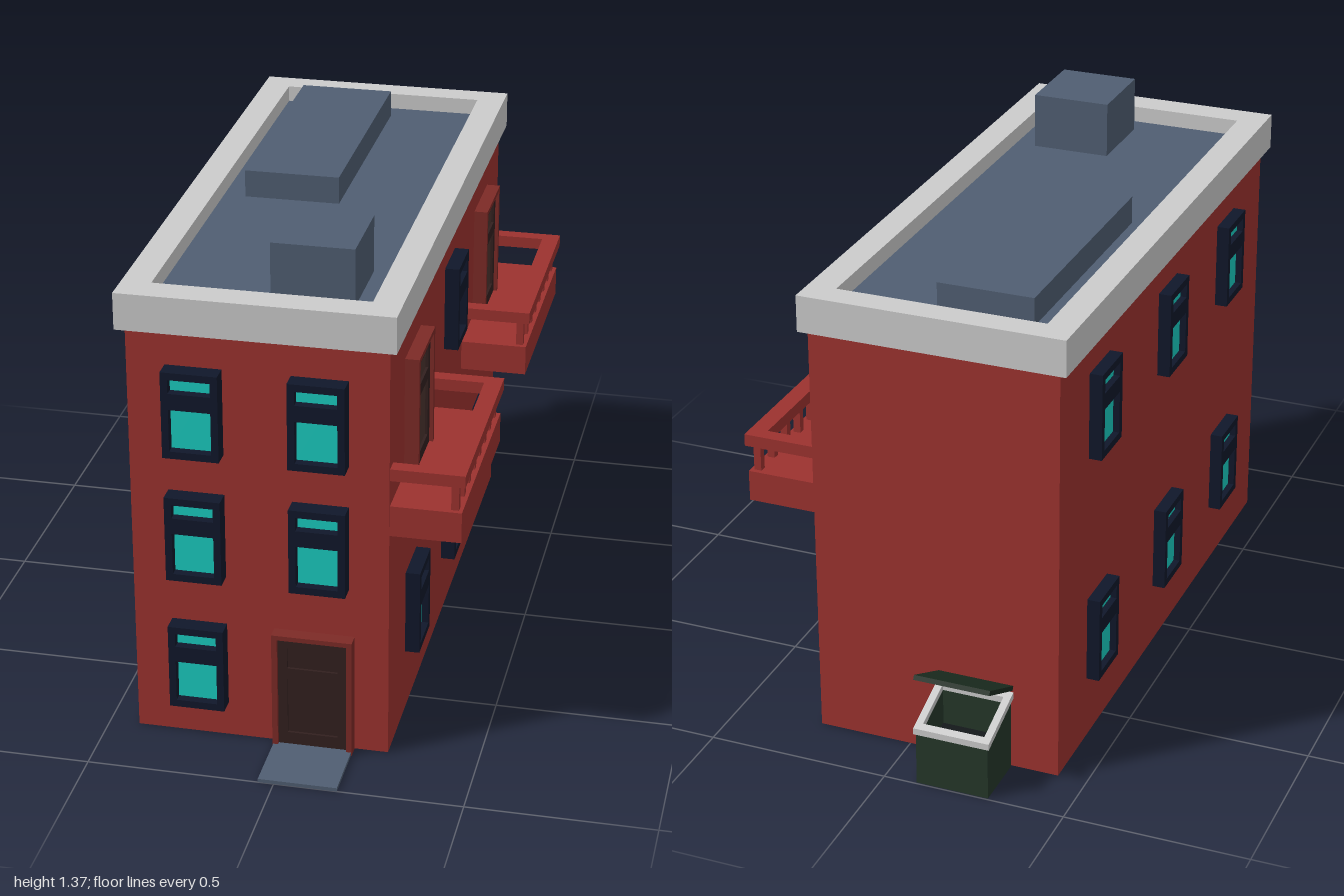
import * as THREE from 'three';

const mat = (color) => new THREE.MeshStandardMaterial({ color, flatShading: true });
const M = {
  brick: mat(0x9c322f), trim: mat(0x7d2a26), stone: mat(0xcccccc), slate: mat(0x505e72),
  frame: mat(0x10172a), glass: mat(0x1accc0), door: mat(0x32201f), pane: mat(0x4a332e),
  bin: mat(0x243729), lid: mat(0x1b2c1f), dark: mat(0x14181a),
};

function add(parent, name, geometry, material) {
  const mesh = new THREE.Mesh(geometry, material);
  mesh.name = name;
  parent.add(mesh);
  return mesh;
}

// Box given by its limits on each axis
function box(parent, name, material, [x0, x1], [y0, y1], [z0, z1]) {
  const mesh = add(parent, name, new THREE.BoxGeometry(x1 - x0, y1 - y0, z1 - z0), material);
  mesh.position.set((x0 + x1) / 2, (y0 + y1) / 2, (z0 + z1) / 2);
  return mesh;
}

const rect = (P, [x0, x1], [y0, y1]) => new P([
  new THREE.Vector2(x0, y0), new THREE.Vector2(x1, y0),
  new THREE.Vector2(x1, y1), new THREE.Vector2(x0, y1),
]);

// Rectangular plate with rectangular holes, extruded along +z
function plate(xs, ys, holes, depth) {
  const shape = rect(THREE.Shape, xs, ys);
  for (const [hx, hy] of holes) shape.holes.push(rect(THREE.Path, hx, hy));
  return new THREE.ExtrudeGeometry(shape, { depth, bevelEnabled: false });
}

// Rectangular ring lying flat, from y = 0 up to y = height
function flatRing([x0, x1], [z0, z1], [hx0, hx1], [hz0, hz1], height) {
  return plate([x0, x1], [-z1, -z0], [[[hx0, hx1], [-hz1, -hz0]]], height).rotateX(-Math.PI / 2);
}

// Sash window facing +z, standing on its origin
function makeWindow(depth) {
  const g = new THREE.Group();
  g.name = 'window';
  const holes = [[[-0.055, 0.055], [0.02, 0.137]], [[-0.055, 0.055], [0.182, 0.22]]];
  add(g, 'windowFrame', plate([-0.074, 0.074], [0, 0.24], holes, depth), M.frame);
  box(g, 'windowGlass', M.glass, [-0.06, 0.06], [0.01, 0.23], [0, depth * 0.5]);
  return g;
}

// Panelled door facing +z, standing on its origin
function makeDoor(panelMaterial) {
  const g = new THREE.Group();
  g.name = 'door';
  add(g, 'doorSurround', plate([-0.107, 0.107], [0, 0.34], [[[-0.092, 0.092], [0.004, 0.327]]], 0.038), M.trim);
  const holes = [[[-0.067, 0.067], [0.045, 0.208]], [[-0.067, 0.067], [0.24, 0.3]]];
  add(g, 'doorLeaf', plate([-0.092, 0.092], [0.004, 0.327], holes, 0.028), M.door);
  box(g, 'doorPanels', panelMaterial, [-0.07, 0.07], [0.04, 0.305], [0, 0.021]);
  return g;
}

function place(parent, part, x, y, z, turn = 0) {
  part.position.set(x, y, z);
  part.rotation.y = turn;
  parent.add(part);
}

// Balcony on the +x wall, centred on its own z = 0
function makeBalcony() {
  const g = new THREE.Group();
  g.name = 'balcony';
  box(g, 'balconySlab', M.brick, [0.26, 0.445], [0.645, 0.73], [-0.295, 0.295]);
  box(g, 'handrail', M.brick, [0.405, 0.453], [0.802, 0.835], [-0.295, 0.295]);
  for (const s of [-1, 1]) {
    box(g, 'endRail', M.brick, [0.26, 0.405], [0.802, 0.835], [s * 0.275 - 0.02, s * 0.275 + 0.02]);
  }
  for (let i = 0; i < 8; i++) {
    const z = -0.272 + i * 0.0777;
    box(g, 'baluster', M.brick, [0.415, 0.435], [0.73, 0.802], [z - 0.01, z + 0.01]);
  }
  return g;
}

// Open rubbish bin with a sloping top against the back wall
function makeBin() {
  const g = new THREE.Group();
  g.name = 'rubbishBin';
  const topAt = (z) => 0.15 + (z + 1) * 0.34;
  const slope = (geometry, rule) => {
    const p = geometry.attributes.position;
    for (let i = 0; i < p.count; i++) p.setY(i, rule(p.getY(i), p.getZ(i)));
    geometry.computeVertexNormals();
    return geometry;
  };
  const xs = [-0.29, -0.09], zs = [-0.995, -0.835], hx = [-0.275, -0.105], hz = [-0.98, -0.85];
  add(g, 'binWalls', slope(flatRing(xs, zs, hx, hz, 1), (y, z) => y * topAt(z)), M.bin);
  add(g, 'binRim', slope(flatRing([-0.295, -0.085], [-1, -0.83], hx, hz, 0.018),
    (y, z) => y + topAt(z)), M.stone);
  box(g, 'binFloor', M.dark, hx, [0, 0.1], hz);
  const lid = add(g, 'binLid', new THREE.BoxGeometry(0.21, 0.013, 0.175), M.lid);
  lid.position.set(-0.19, 0.278, -0.912);
  lid.rotation.x = Math.atan2(0.075, 0.155);
  return g;
}

export function createModel() {
  const model = new THREE.Group();
  model.name = 'townHouse';

  // Walls and roof
  box(model, 'walls', M.brick, [-0.42, 0.26], [0, 1.17], [-0.83, 0.79]);
  const parapet = add(model, 'parapet',
    flatRing([-0.443, 0.28], [-0.85, 0.81], [-0.365, 0.203], [-0.775, 0.727], 0.1), M.stone);
  parapet.position.y = 1.165;
  box(model, 'roofDeck', M.slate, [-0.365, 0.203], [1.167, 1.22], [-0.775, 0.727]);
  box(model, 'skylightBox', M.slate, [-0.305, -0.043], [1.22, 1.296], [-0.71, 0]);
  box(model, 'roofHatch', M.slate, [-0.073, 0.145], [1.22, 1.374], [0.435, 0.665]);

  // Front windows, door and step
  for (const [x, y] of [[-0.245, 0.832], [0.081, 0.832], [-0.245, 0.478], [0.081, 0.478], [-0.245, 0.098]]) {
    place(model, makeWindow(0.048), x, y, 0.79);
  }
  place(model, makeDoor(M.door), 0.063, 0, 0.79);
  box(model, 'doorstep', M.slate, [-0.042, 0.168], [0, 0.01], [0.79, 1]);

  // Side windows
  for (const z of [0.492, -0.035, -0.528]) place(model, makeWindow(0.039), 0.26, 0.178, z, Math.PI / 2);
  place(model, makeWindow(0.039), 0.26, 0.832, -0.035, Math.PI / 2);
  for (const y of [0.178, 0.832]) {
    for (const z of [0.47, -0.025, -0.55]) place(model, makeWindow(0.035), -0.42, y, z, -Math.PI / 2);
  }

  // Balconies with their doors
  for (const [z, doorZ] of [[0.49, 0.493], [-0.535, -0.528]]) {
    place(model, makeBalcony(), 0, 0, z);
    place(model, makeDoor(M.pane), 0.26, 0.717, doorZ, Math.PI / 2);
  }

  model.add(makeBin());
  return model;
}
